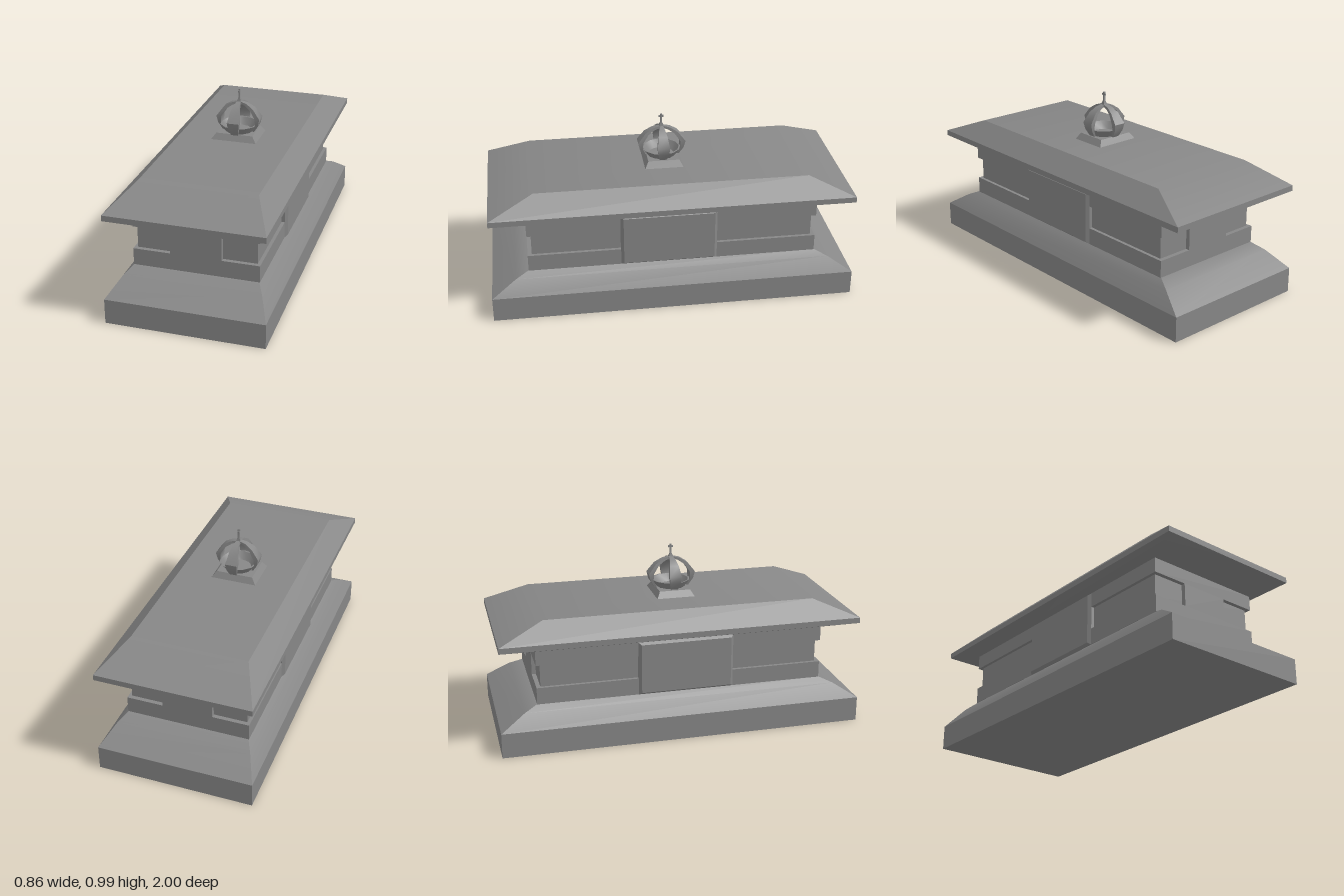
import * as THREE from 'three';
import { toCreasedNormals } from 'three/addons/utils/BufferGeometryUtils.js';

const stone = new THREE.MeshStandardMaterial({ color: 0x878787, side: THREE.DoubleSide });

function add(parent, name, geometry, x = 0, y = 0, z = 0) {
  const mesh = new THREE.Mesh(geometry, stone);
  mesh.name = name;
  mesh.position.set(x, y, z);
  parent.add(mesh);
  return mesh;
}

// Closed skin over four-cornered cross-sections, each corner [x, y, z]
function skin(sections, crease = 0.5) {
  const pos = [];
  const quad = (a, b, c, d) => pos.push(...a, ...b, ...c, ...a, ...c, ...d);
  for (let s = 0; s < sections.length - 1; s++) {
    const lo = sections[s], hi = sections[s + 1];
    for (let i = 0; i < 4; i++) {
      const j = (i + 1) % 4;
      quad(lo[i], lo[j], hi[j], hi[i]);
    }
  }
  const [a, b, c, d] = sections[0];
  quad(d, c, b, a);
  quad(...sections[sections.length - 1]);
  const geometry = new THREE.BufferGeometry();
  geometry.setAttribute('position', new THREE.Float32BufferAttribute(pos, 3));
  return toCreasedNormals(geometry, crease);
}

// Stack of rectangles [halfX, halfZ, y]
const stack = (rects) => skin(rects.map(([x, z, y]) =>
  [[x, y, z], [x, y, -z], [-x, y, -z], [-x, y, z]]));

// Box between two heights, centred on x and z
function slab(parent, name, hx, hz, y0, y1) {
  return add(parent, name, new THREE.BoxGeometry(hx * 2, y1 - y0, hz * 2), 0, (y0 + y1) / 2, 0);
}

// One crown arch reaching out to +x, its radii scaled by k
function archGeometry(k) {
  // outer r, outer y, inner r, inner y, half width
  const path = [
    [0.09, 0.747, 0.08, 0.747, 0.02],
    [0.114, 0.787, 0.098, 0.787, 0.029],
    [0.123, 0.827, 0.096, 0.827, 0.034],
    [0.084, 0.88, 0.068, 0.871, 0.025],
    [0.045, 0.906, 0.034, 0.895, 0.016],
    [0, 0.918, 0, 0.906, 0.01],
  ];
  return skin(path.map(([ro, yo, ri, yi, w]) =>
    [[ro * k, yo, w], [ro * k, yo, -w], [ri * k, yi, -w], [ri * k, yi, w]]), 0.9);
}

function createCrown() {
  const crown = new THREE.Group();
  crown.name = 'crown';

  // Flared band around the bottom
  const profile = [[0.07, 0.747], [0.08, 0.747], [0.107, 0.787], [0.098, 0.787], [0.07, 0.747]]
    .map(([r, y]) => new THREE.Vector2(r, y));
  add(crown, 'crownRing', toCreasedNormals(new THREE.LatheGeometry(profile, 12), 0.6));

  // Four arches, the front and back ones reaching slightly further
  for (let i = 0; i < 4; i++) {
    add(crown, 'crownArch', archGeometry(i % 2 ? 1.07 : 1)).rotation.y = i * Math.PI / 2;
  }

  // Tapered finial with a small cross
  add(crown, 'finial', stack([
    [0.016, 0.016, 0.9], [0.012, 0.012, 0.915], [0.005, 0.005, 0.935], [0.005, 0.005, 0.985],
  ]));
  add(crown, 'finialCrossbar', new THREE.BoxGeometry(0.008, 0.01, 0.026), 0, 0.972, 0);
  crown.position.set(0.005, 0, 0.022);
  return crown;
}

export function createModel() {
  const model = new THREE.Group();
  model.name = 'monument';

  // Plinth with sloping shoulders
  add(model, 'plinth', stack([
    [0.428, 1, 0], [0.428, 1, 0.138], [0.372, 0.868, 0.22], [0.338, 0.797, 0.25],
  ]));

  // Walls, with a band of recessed windows wrapping the corners
  slab(model, 'lowerWall', 0.34, 0.795, 0.25, 0.343);
  slab(model, 'windowCore', 0.322, 0.772, 0.343, 0.47);
  slab(model, 'endPier', 0.139, 0.795, 0.343, 0.47);
  slab(model, 'upperWall', 0.34, 0.795, 0.47, 0.552);

  // Bevelled panel on each long side
  for (const side of [1, -1]) {
    const panel = stack([
      [0.15, 0.265, 0], [0.15, 0.265, 0.02], [0.138, 0.25, 0.035],
    ]).rotateZ(-side * Math.PI / 2);
    add(model, side > 0 ? 'leftPanel' : 'rightPanel', panel, side * 0.32, 0.4, 0.023);
  }

  // Overhanging hipped roof with a flat top
  add(model, 'roof', stack([
    [0.34, 0.795, 0.55], [0.423, 0.99, 0.583], [0.423, 0.99, 0.614], [0.318, 0.745, 0.713],
  ]));

  // Crown on its pedestal
  add(model, 'crownPedestal', stack([
    [0.129, 0.107, 0.711], [0.103, 0.086, 0.747],
  ]), 0, 0, 0.02);
  model.add(createCrown());

  return model;
}
